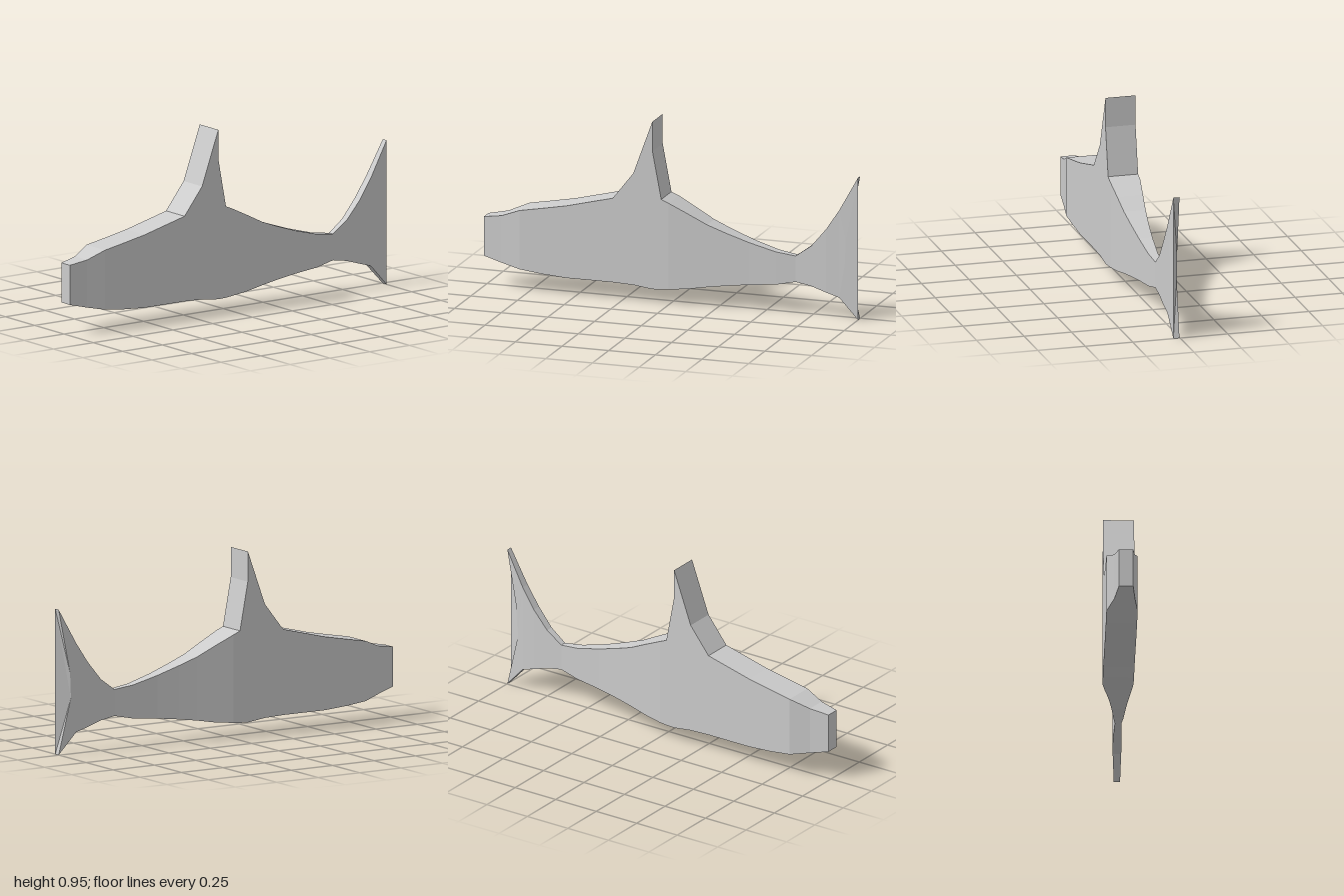
import * as THREE from 'three';

// body stations from nose to tail: z, top, bottom, right side x, left side x
const STATIONS = [
  [1, 0.368, 0.163, -0.022, 0.05],
  [0.9, 0.385, 0.138, -0.043, 0.062],
  [0.8, 0.425, 0.117, -0.08, 0.078],
  [0.68, 0.447, 0.103, -0.08, 0.078],
  [0.55, 0.472, 0.094, -0.08, 0.078],
  [0.3, 0.535, 0.094, -0.08, 0.078],
  // dorsal fin rises out of the back
  [0.19, 0.675, 0.09, -0.08, 0.078],
  [0.088, 0.955, 0.077, -0.08, 0.078],
  [0.087, 0.8, 0.077, -0.08, 0.078],
  [0.04, 0.552, 0.079, -0.08, 0.078],
  [0, 0.535, 0.083, -0.08, 0.078],
  [-0.1, 0.487, 0.093, -0.065, 0.071],
  [-0.2, 0.437, 0.11, -0.05, 0.064],
  [-0.3, 0.4, 0.124, -0.036, 0.057],
  [-0.42, 0.36, 0.138, -0.022, 0.049],
  [-0.56, 0.322, 0.15, -0.009, 0.041],
  [-0.665, 0.308, 0.172, 0.001, 0.034],
  // tail fin flares again
  [-0.75, 0.37, 0.158, -0.003, 0.037],
  [-0.83, 0.465, 0.133, -0.006, 0.04],
  [-0.9, 0.57, 0.112, -0.004, 0.039],
];

// collects flat polygons as triangle fans
function faceBuilder() {
  const positions = [];
  return {
    face(...p) {
      for (let i = 1; i < p.length - 1; i++) positions.push(...p[0], ...p[i], ...p[i + 1]);
    },
    mesh(name, material) {
      const geometry = new THREE.BufferGeometry();
      geometry.setAttribute('position', new THREE.Float32BufferAttribute(positions, 3));
      geometry.computeVertexNormals();
      const mesh = new THREE.Mesh(geometry, material);
      mesh.name = name;
      return mesh;
    },
  };
}

export function createModel() {
  const group = new THREE.Group();
  group.name = 'fish';
  const material = new THREE.MeshStandardMaterial({ color: 0xcccccc, flatShading: true });

  // corners of each station: top right, top left, bottom left, bottom right
  const rings = STATIONS.map(([z, top, bottom, a, b]) => [
    [a, top, z], [b, top, z], [b, bottom, z], [a, bottom, z],
  ]);

  // body with dorsal fin
  const body = faceBuilder();
  body.face(rings[0][0], rings[0][3], rings[0][2], rings[0][1]);
  for (let s = 0; s < rings.length - 1; s++) {
    const f = rings[s], r = rings[s + 1];
    for (let i = 0; i < 4; i++) {
      const j = (i + 1) % 4;
      body.face(f[i], f[j], r[j], r[i]);
    }
  }
  group.add(body.mesh('bodyWithDorsalFin', material));

  // tail fin tips with a notched trailing edge on each side
  const tail = faceBuilder();
  const [tr, tl, bl, br] = rings[rings.length - 1];
  const edge = (tipX, notchX) => [
    [tipX, 0.75, -1], [notchX, 0.42, -0.935], [notchX, 0.29, -0.93], [tipX, 0.003, -1],
  ];
  const [T, N, M, B] = edge(0.036, 0.039);
  const [t, n, m, b] = edge(0.004, -0.002);
  tail.face(tr, tl, T, t);
  tail.face(bl, br, b, B);
  // left side
  tail.face(tl, bl, M, N);
  tail.face(tl, N, T);
  tail.face(bl, B, M);
  // right side
  tail.face(tr, n, m, br);
  tail.face(tr, t, n);
  tail.face(br, m, b);
  // trailing edge
  tail.face(N, M, B, T);
  tail.face(T, n, t);
  tail.face(T, B, m, n);
  tail.face(B, b, m);
  group.add(tail.mesh('tailFin', material));

  return group;
}
